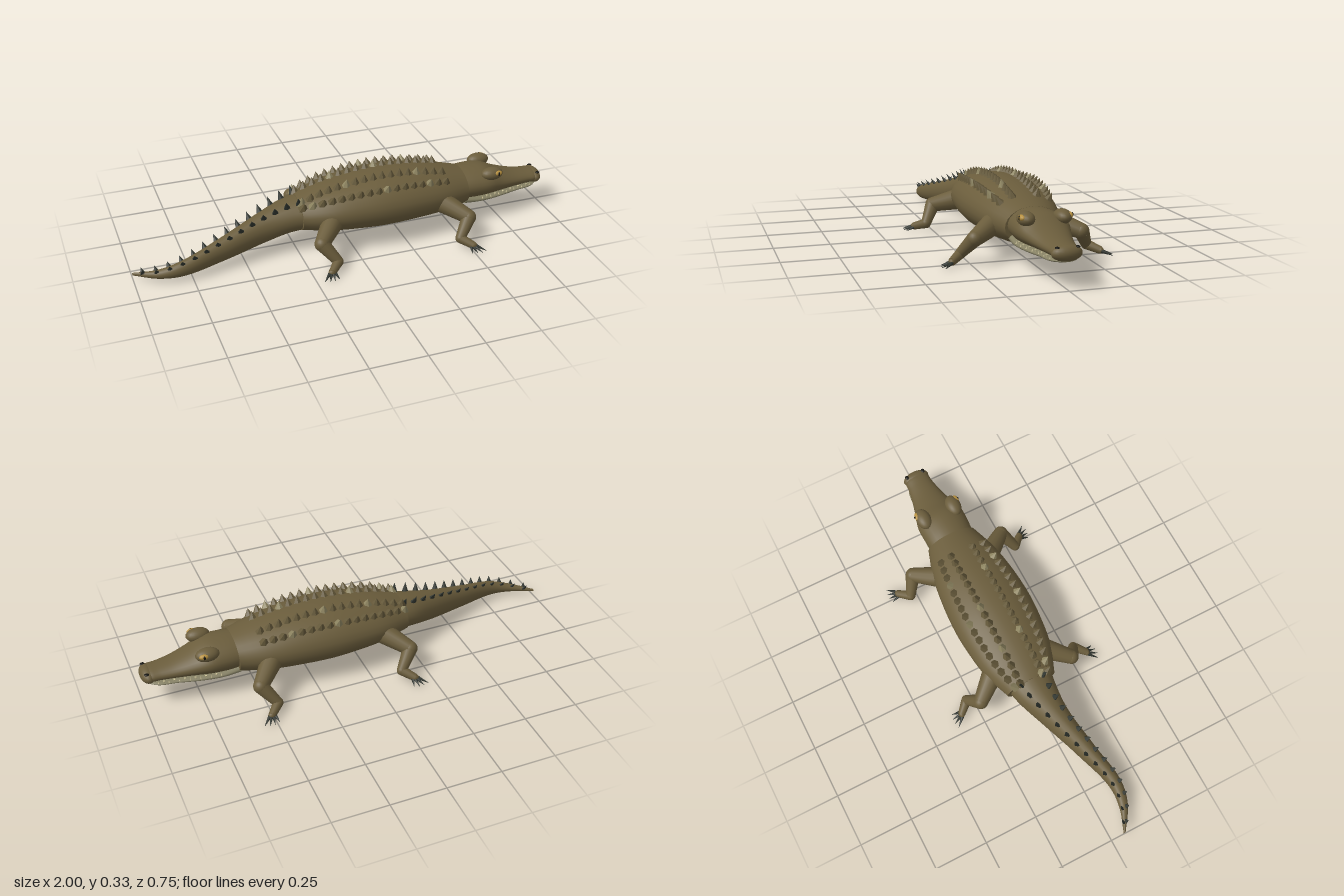
import * as THREE from 'three';

const mat = (name, color, side = THREE.FrontSide) => {
  const m = new THREE.MeshStandardMaterial({ color, side });
  m.name = name;
  return m;
};

// Cross-sections along x: [x, top, bottom, halfWidth, centreZ]
const BODY = [
  [-0.23, 0.24, 0.09, 0.12, 0], [-0.1, 0.275, 0.072, 0.168, 0], [0.05, 0.298, 0.06, 0.19, 0],
  [0.15, 0.305, 0.055, 0.195, 0], [0.3, 0.299, 0.058, 0.186, 0], [0.45, 0.277, 0.066, 0.162, 0],
  [0.578, 0.248, 0.082, 0.122, 0],
];
const TAIL = [
  [-1, 0.036, 0.024, 0.005, 0.065], [-0.9, 0.058, 0.02, 0.021, 0.117], [-0.8, 0.088, 0.02, 0.029, 0.133],
  [-0.6, 0.142, 0.032, 0.044, 0.085], [-0.4, 0.2, 0.056, 0.068, 0.028], [-0.28, 0.23, 0.08, 0.095, 0.005],
  [-0.18, 0.245, 0.09, 0.115, 0],
];
const HEAD = [
  [0.55, 0.246, 0.1, 0.108, 0], [0.63, 0.25, 0.1, 0.115, 0], [0.7, 0.244, 0.106, 0.115, 0],
  [0.77, 0.214, 0.112, 0.096, 0], [0.85, 0.19, 0.116, 0.075, 0], [0.92, 0.18, 0.118, 0.062, 0],
  [0.97, 0.176, 0.119, 0.056, 0], [0.99, 0.166, 0.125, 0.04, 0],
];
const JAW = [
  [0.57, 0.15, 0.086, 0.104, 0], [0.65, 0.135, 0.088, 0.106, 0], [0.75, 0.13, 0.092, 0.094, 0],
  [0.85, 0.127, 0.098, 0.072, 0], [0.94, 0.125, 0.104, 0.056, 0], [0.975, 0.122, 0.112, 0.03, 0],
];

// Smooth lookup of a cross-section at any x
function sampler(list) {
  const f = new THREE.CubicInterpolant(list.map((s) => s[0]), list.flatMap((s) => s.slice(1)), 4);
  return (x) => {
    const [top, bottom, hz, cz] = f.evaluate(x);
    return { x, cy: (top + bottom) / 2, hy: (top - bottom) / 2, hz, cz };
  };
}

// Skin of elliptical rings with closed, sharp-edged ends
function loft(list, steps = 28, sides = 28) {
  const at = sampler(list), x0 = list[0][0], x1 = list[list.length - 1][0];
  const rows = Array.from({ length: steps + 1 }, (_, i) => at(x0 + (x1 - x0) * i / steps));
  const first = rows[0], last = rows[steps];
  rows.unshift({ ...first, hy: 0, hz: 0 }, first);
  rows.push(last, { ...last, hy: 0, hz: 0 });
  const pos = [], idx = [];
  rows.forEach((r, i) => {
    for (let j = 0; j < sides; j++) {
      const a = j / sides * Math.PI * 2;
      pos.push(r.x, r.cy + r.hy * Math.sin(a), r.cz + r.hz * Math.cos(a));
      if (i === rows.length - 1) continue;
      const p = i * sides + j, q = i * sides + (j + 1) % sides;
      idx.push(p, p + sides, q, q, p + sides, q + sides);
    }
  });
  const g = new THREE.BufferGeometry();
  g.setAttribute('position', new THREE.Float32BufferAttribute(pos, 3));
  g.setIndex(idx);
  g.computeVertexNormals();
  return g;
}

export function createModel() {
  const root = new THREE.Group();
  root.name = 'crocodile';
  const hide = mat('olive hide', 0x6b5d3c);
  const scuteMat = mat('brown scute', 0x675b3c);
  const paleMat = mat('pale scute', 0x8f8662);
  const jawMat = mat('pale jaw', 0x858063);
  const dark = mat('dark claw', 0x30352f);
  const ivory = mat('ivory tooth', 0xcfc59a);
  const amber = mat('amber eye', 0xb8913f);
  const black = mat('black pupil', 0x15140f);

  const add = (parent, name, geo, m, p = [0, 0, 0], s = [1, 1, 1]) => {
    const mesh = new THREE.Mesh(geo, m);
    mesh.name = name;
    mesh.position.set(...p);
    mesh.scale.set(...s);
    parent.add(mesh);
    return mesh;
  };
  const group = (name) => {
    const g = new THREE.Group();
    g.name = name;
    root.add(g);
    return g;
  };
  const UP = new THREE.Vector3(0, 1, 0);
  const ball = new THREE.SphereGeometry(1, 20, 14);

  // Tapered segment between two points
  const segment = (parent, name, a, b, ra, rb, m, sides = 14) => {
    const A = new THREE.Vector3(...a), B = new THREE.Vector3(...b), d = B.clone().sub(A);
    const mid = A.clone().add(B).multiplyScalar(0.5);
    const mesh = add(parent, name, new THREE.CylinderGeometry(rb, ra, d.length(), sides), m, mid.toArray());
    mesh.quaternion.setFromUnitVectors(UP, d.normalize());
    return mesh;
  };

  // Trunk, tail, head and lower jaw
  add(root, 'body', loft(BODY), hide);
  add(root, 'tail', loft(TAIL, 36, 22), hide);
  const head = group('head');
  add(head, 'skullAndSnout', loft(HEAD), hide);
  add(head, 'lowerJaw', loft(JAW), jawMat);
  add(head, 'snoutTip', ball, hide, [0.966, 0.146, 0], [0.034, 0.033, 0.064]);

  // Eyes, nostrils and teeth
  const jawAt = sampler(JAW);
  const toothGeo = new THREE.ConeGeometry(0.005, 0.016, 6);
  for (const s of [1, -1]) {
    add(head, 'eyeBulge', ball, hide, [0.71, 0.23, s * 0.078], [0.054, 0.03, 0.036]);
    add(head, 'iris', ball, amber, [0.728, 0.238, s * 0.1], [0.024, 0.013, 0.014]);
    add(head, 'pupil', ball, black, [0.731, 0.239, s * 0.112], [0.005, 0.01, 0.004]);
    add(head, 'nostril', ball, black, [0.975, 0.171, s * 0.042], [0.011, 0.004, 0.009]);
    for (let i = 0; i < 13; i++) {
      const x = 0.66 + i * 0.0225;
      const tooth = add(head, 'tooth', toothGeo, ivory, [x, 0.121, s * (jawAt(x).hz - 0.006)]);
      if (i % 2) tooth.rotation.x = Math.PI;
    }
  }

  // Legs, with the hind pair bending backward
  const legs = [
    ['frontLeg', 0.435, 1], ['hindLeg', -0.095, -1],
  ];
  for (const [name, x, f] of legs) for (const s of [1, -1]) {
    const leg = group(name);
    const P = (dx, y, z) => [x + f * dx, y, s * z];
    const hip = P(0, 0.155, 0.125), knee = P(0.09, 0.115, 0.235);
    const ankle = P(0.03, 0.04, 0.282), toe = P(0.075, 0.02, 0.33);
    segment(leg, 'upperLeg', hip, knee, 0.05, 0.034, hide);
    add(leg, 'shoulder', ball, hide, hip, [0.05, 0.05, 0.05]);
    add(leg, 'knee', ball, hide, knee, [0.034, 0.034, 0.034]);
    segment(leg, 'lowerLeg', knee, ankle, 0.034, 0.023, hide);
    add(leg, 'ankle', ball, hide, ankle, [0.023, 0.023, 0.023]);
    segment(leg, 'foot', ankle, toe, 0.023, 0.017, hide);
    add(leg, 'footTip', ball, hide, toe, [0.018, 0.015, 0.014]);
    for (const k of [-1.5, -0.5, 0.5, 1.5]) {
      segment(leg, 'claw', P(0.075 + k * 0.008, 0.018, 0.332),
        P(0.088 + k * 0.023, 0.005, 0.381 - Math.abs(k) * 0.008), 0.0085, 0.0008, dark, 7);
    }
  }

  // Faceted cone standing on the skin of a loft
  const coneGeo = new THREE.ConeGeometry(1, 1, 6).toNonIndexed();
  coneGeo.computeVertexNormals();
  const stud = (parent, name, r, z, size, m) => {
    const k = z / r.hz, c = Math.sqrt(1 - k * k);
    const mesh = add(parent, name, coneGeo, m, [r.x, r.cy + r.hy * c, r.cz + z], size);
    mesh.quaternion.setFromUnitVectors(UP, new THREE.Vector3(0, c / r.hy, k / r.hz).normalize());
    mesh.translateY(size[1] * 0.28);
    return mesh;
  };

  // Four rows of back scutes, a few of them pale
  const back = group('backScutes'), bodyAt = sampler(BODY);
  [-0.68, -0.3, 0.3, 0.68].forEach((k, row) => {
    for (let i = 0; i < 17; i++) {
      const r = bodyAt(-0.22 + i * 0.0425);
      const z = Math.abs(k) < 0.5 ? Math.sign(k) * 0.055 : k * r.hz;
      const pale = (i * 5 + row * 7) % 13 < 2;
      stud(back, 'backScute', r, z, [0.025, 0.042, 0.024], pale ? paleMat : scuteMat);
    }
  });

  // Twin rows of dark tail spikes, shrinking toward the tip
  const crest = group('tailSpikes'), tailAt = sampler(TAIL);
  for (let i = 0; i < 14; i++) {
    const t = i / 13, r = tailAt(-0.235 - t * 0.725);
    for (const s of [1, -1]) {
      const spike = stud(crest, 'tailSpike', r, s * r.hz * 0.5,
        [0.021 - t * 0.007, 0.056 - t * 0.028, 0.012 - t * 0.005], dark);
      spike.rotateZ(0.2);
    }
  }
  return root;
}
